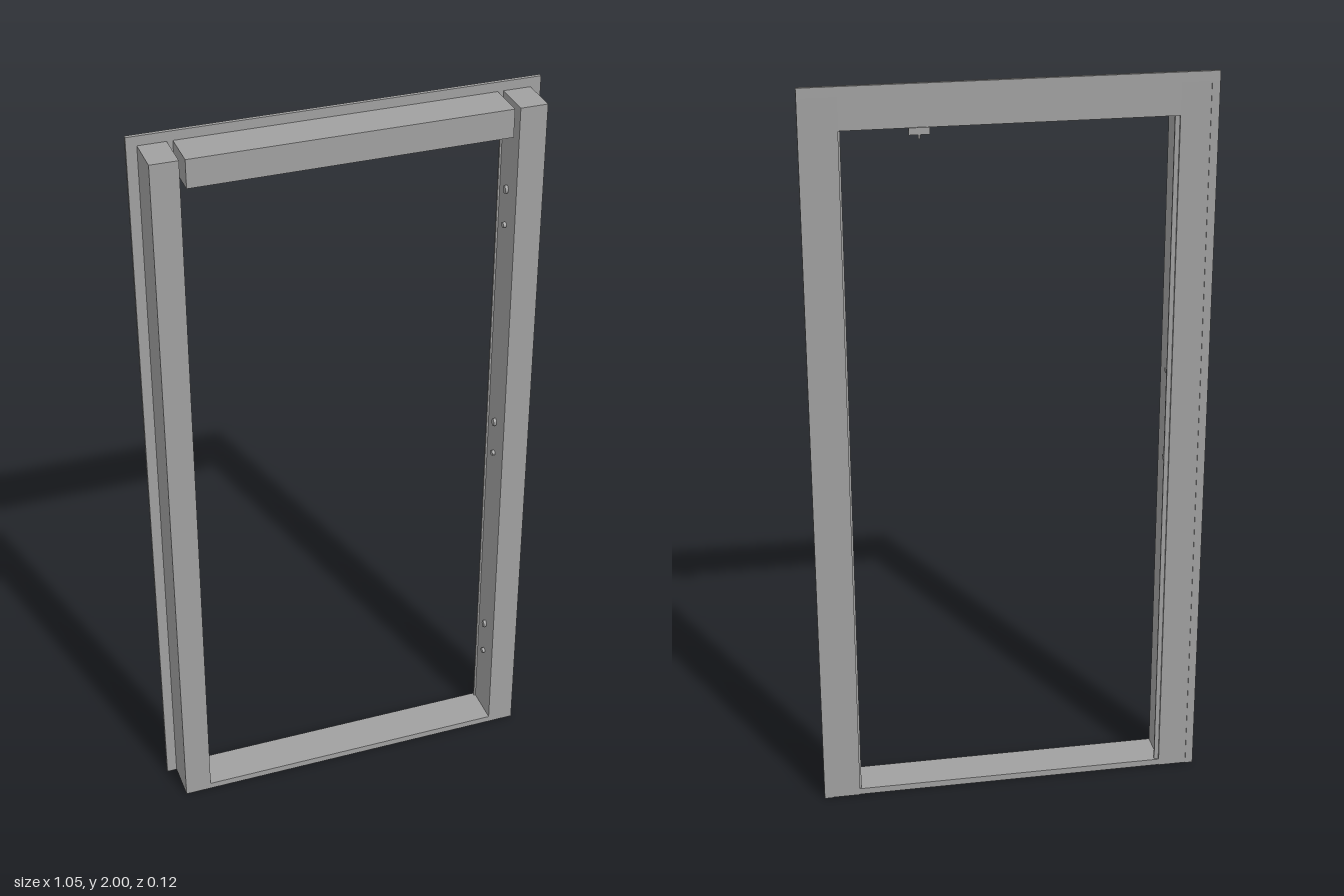
import * as THREE from 'three';

export function createModel() {
  const group = new THREE.Group();
  const metal = new THREE.MeshStandardMaterial({ color: 0xa0a0a0 });
  metal.name = 'grey metal';

  // Box given by its limits on each axis
  const box = (name, x0, x1, y0, y1, z0, z1) => {
    const mesh = new THREE.Mesh(new THREE.BoxGeometry(x1 - x0, y1 - y0, z1 - z0), metal);
    mesh.position.set((x0 + x1) / 2, (y0 + y1) / 2, (z0 + z1) / 2);
    mesh.name = name;
    group.add(mesh);
    return mesh;
  };
  // The same box on the left (+x) or right (-x) side
  const sided = (s, name, a, b, ...rest) =>
    box(name, Math.min(s * a, s * b), Math.max(s * a, s * b), ...rest);

  // Jambs, each with a back cover, outer flange lip and seal
  for (const s of [1, -1]) {
    const side = s > 0 ? 'left' : 'right';
    sided(s, side + 'Jamb', 0.428, 0.5, 0, 1.975, -0.05, 0.057);
    sided(s, side + 'BackCover', 0.428, 0.506, 0, 1.975, -0.058, -0.05);
    sided(s, side + 'FlangeLip', 0.506, 0.527, 0, 1.975, -0.06, -0.05);
    sided(s, side + 'Seal', s > 0 ? 0.423 : 0.416, 0.428, 0.018, 1.9, -0.052, -0.046);
  }

  // Head beam, stopping short of the jambs
  box('headBeam', -0.413, 0.413, 1.9, 1.975, -0.05, 0.057);
  box('headBackCover', -0.428, 0.428, 1.89, 1.975, -0.058, -0.05);
  box('headFlangeLip', -0.527, 0.527, 1.975, 2, -0.06, -0.05);
  box('headSeal', -0.416, 0.416, 1.89, 1.9, -0.05, -0.044);

  // Threshold
  box('sill', -0.428, 0.428, 0, 0.018, -0.056, 0.057);

  // Paired hinge pins on the left jamb
  const pin = new THREE.CylinderGeometry(0.008, 0.008, 0.008, 16).rotateZ(Math.PI / 2);
  for (const y of [0.33, 1.03, 1.73]) {
    for (const [dy, scale] of [[0, 1.4], [-0.1, 0.9]]) {
      const mesh = new THREE.Mesh(pin, metal);
      mesh.name = 'hingePin';
      mesh.scale.y = scale;
      mesh.position.set(0.424, y + dy, 0);
      group.add(mesh);
    }
  }

  // Strike plate with end catches on the right jamb
  box('strikePlate', -0.428, -0.425, 0.94, 1.2, -0.032, -0.012);
  for (const y of [0.94, 1.19]) box('strikeCatch', -0.426, -0.42, y, y + 0.012, -0.03, -0.014);

  // Small closer bracket under the head
  box('closerBracket', 0.203, 0.256, 1.873, 1.891, -0.062, -0.055);
  box('closerArm', 0.213, 0.246, 1.883, 1.9, -0.056, -0.035);
  const knob = new THREE.Mesh(new THREE.CylinderGeometry(0.003, 0.003, 0.012, 12), metal);
  knob.name = 'closerKnob';
  knob.position.set(0.23, 1.868, -0.058);
  group.add(knob);

  return group;
}
